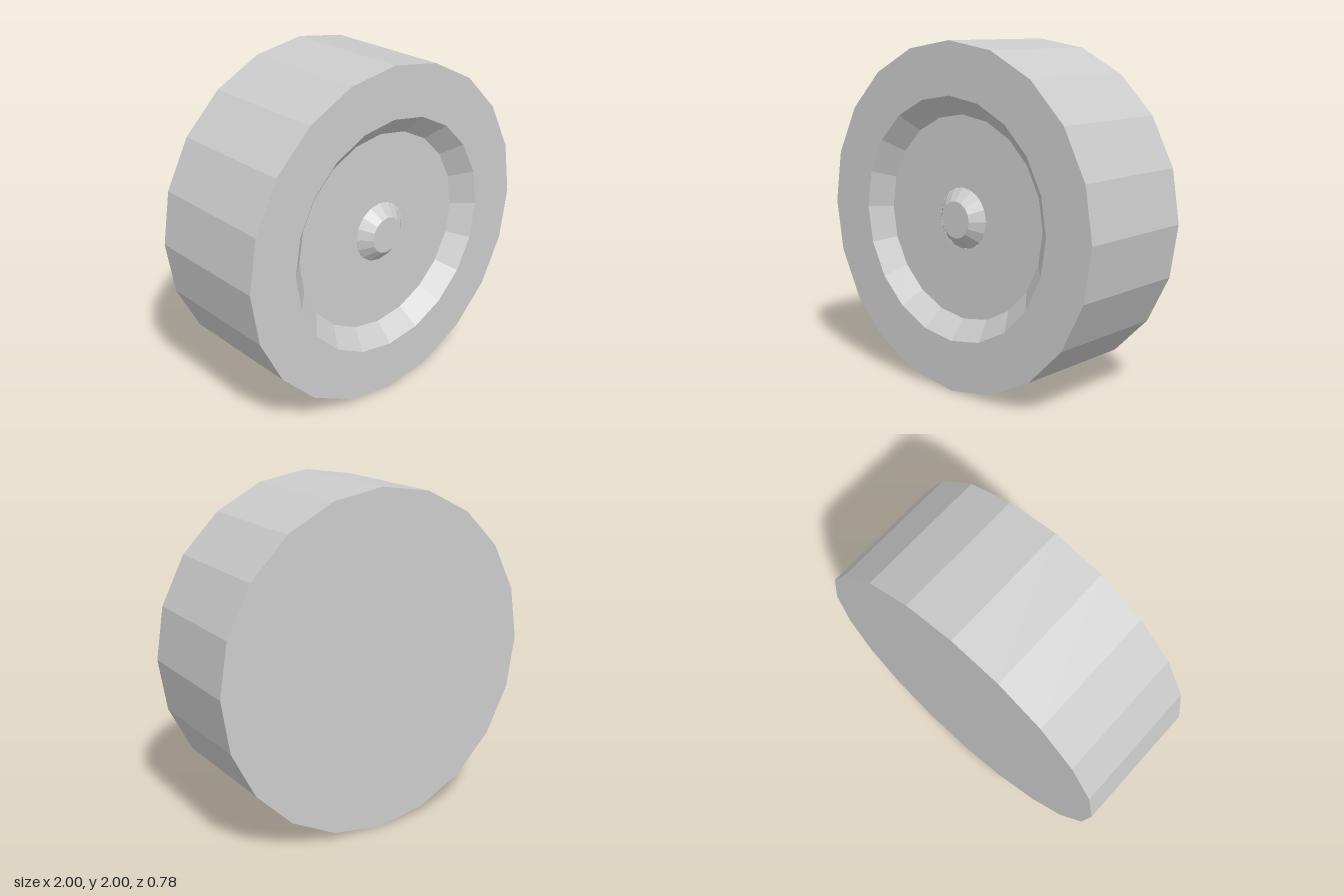
import * as THREE from 'three';

const material = new THREE.MeshStandardMaterial({ color: 0xcccccc, flatShading: true });

// Faceted solid of revolution about z; profile is [radius, z] from back to front
function turned(name, profile, sides) {
  const points = profile.map(([r, z]) => new THREE.Vector2(r, z));
  const geometry = new THREE.LatheGeometry(points, sides).rotateX(Math.PI / 2);
  const mesh = new THREE.Mesh(geometry, material);
  mesh.name = name;
  mesh.position.y = 1;
  return mesh;
}

export function createModel() {
  const half = 0.39;            // half the wheel width
  const floor = half - 0.105;   // depth of the recessed disc
  const group = new THREE.Group();
  group.name = 'wheel';

  // Tyre: flat back, tread and front sidewall
  group.add(turned('tyre', [[0, -half], [1, -half], [1, half], [0.7, half]], 20));

  // Rim: sloped recess wall and disc, open under the hub
  group.add(turned('rim', [[0.7, half], [0.59, floor], [0.177, floor]], 20));

  // Hub cap: small tapered boss, sunk slightly into the disc
  group.add(turned('hubCap', [[0.177, floor - 0.005], [0.177, floor], [0.107, half - 0.04], [0, half - 0.04]], 16));

  return group;
}
